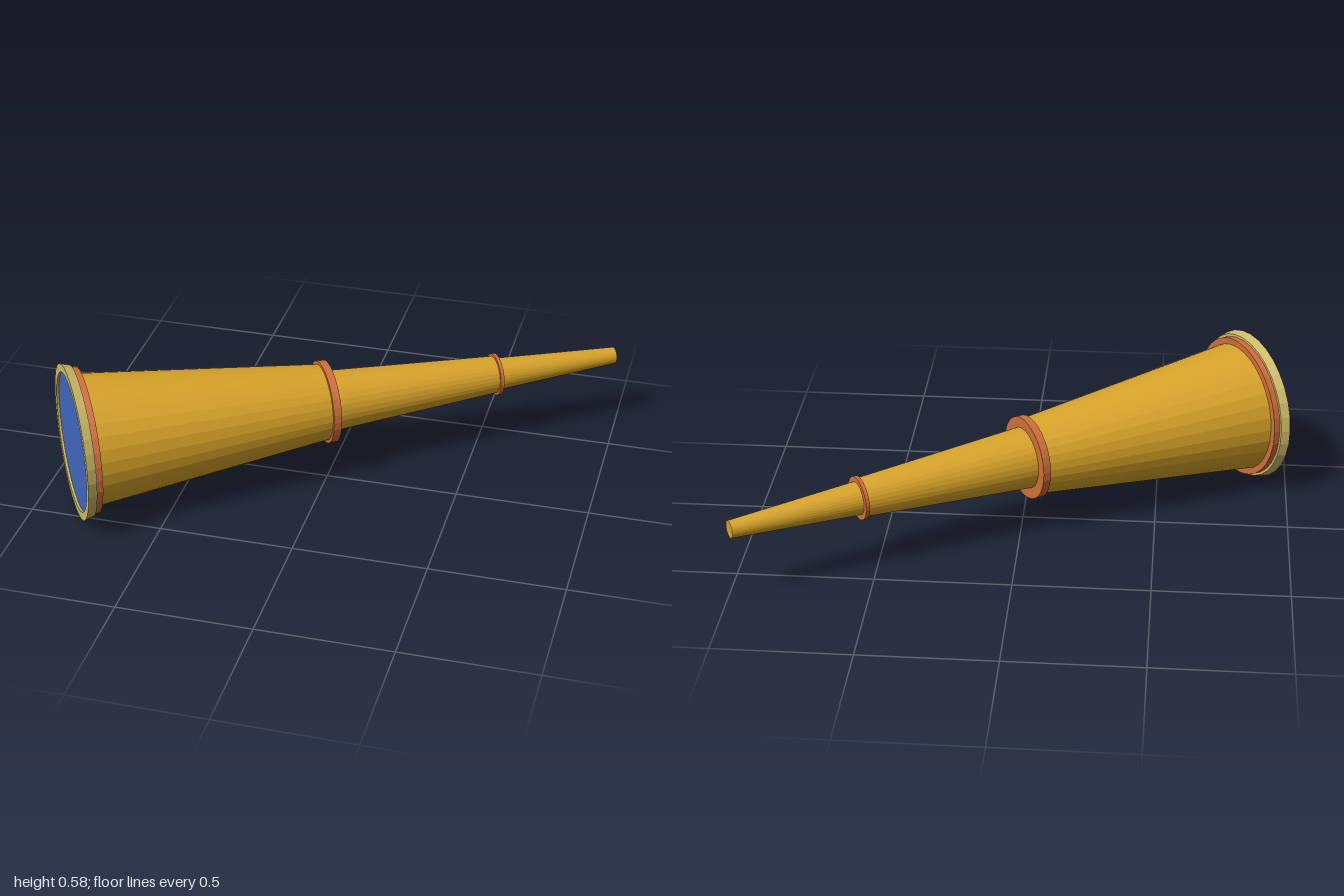
import * as THREE from 'three';

const SIDES = 32;
const paint = (color) => new THREE.MeshStandardMaterial({ color, flatShading: true, side: THREE.DoubleSide });
const gold = paint(0xdaa52a);
const copper = paint(0xd0703a);
const brass = paint(0xd0bc68);
const blue = paint(0x4169c0);

export function createModel() {
  const model = new THREE.Group();
  model.name = 'spyglass';

  // Every part is turned about +y: y = 0 is the wide end, y = 2.147 the eyepiece
  const tube = new THREE.Group();
  tube.name = 'telescopeTube';
  model.add(tube);

  const turned = (name, material, profile) => {
    const points = profile.map(([r, y]) => new THREE.Vector2(r, y));
    const mesh = new THREE.Mesh(new THREE.LatheGeometry(points, SIDES), material);
    mesh.name = name;
    tube.add(mesh);
  };
  const section = (name, r0, y0, r1, y1) =>
    turned(name, gold, [[0, y0], [r0, y0], [r1, y1], [0, y1]]);
  const collar = (name, inner, outer, y0, y1) =>
    turned(name, copper, [[inner, y0], [outer, y0], [outer, y1], [inner, y1], [inner, y0]]);

  // Three tapering sections
  section('wideSection', 0.25, 0.035, 0.143, 0.97);
  section('middleSection', 0.117, 0.97, 0.071, 1.652);
  section('eyepieceSection', 0.062, 1.652, 0.032, 2.147);

  // Copper collars at the joints
  collar('frontCollar', 0.23, 0.272, 0.034, 0.058);
  collar('middleCollar', 0.1, 0.157, 0.956, 0.986);
  collar('rearCollar', 0.05, 0.081, 1.646, 1.66);

  // Front rim with the slightly recessed lens
  turned('frontRim', brass, [[0.26, 0], [0.291, 0], [0.282, 0.034], [0.24, 0.034], [0.26, 0.02], [0.26, 0]]);
  turned('lens', blue, [[0.26, 0.009], [0, 0.009]]);

  // Lay the tube level, pointing to the front right
  const axis = new THREE.Vector3(1.82, 0, -1.14).normalize();
  tube.quaternion.setFromUnitVectors(new THREE.Vector3(0, 1, 0), axis);
  tube.position.set(-0.845, 0.291, 0.455);
  return model;
}
